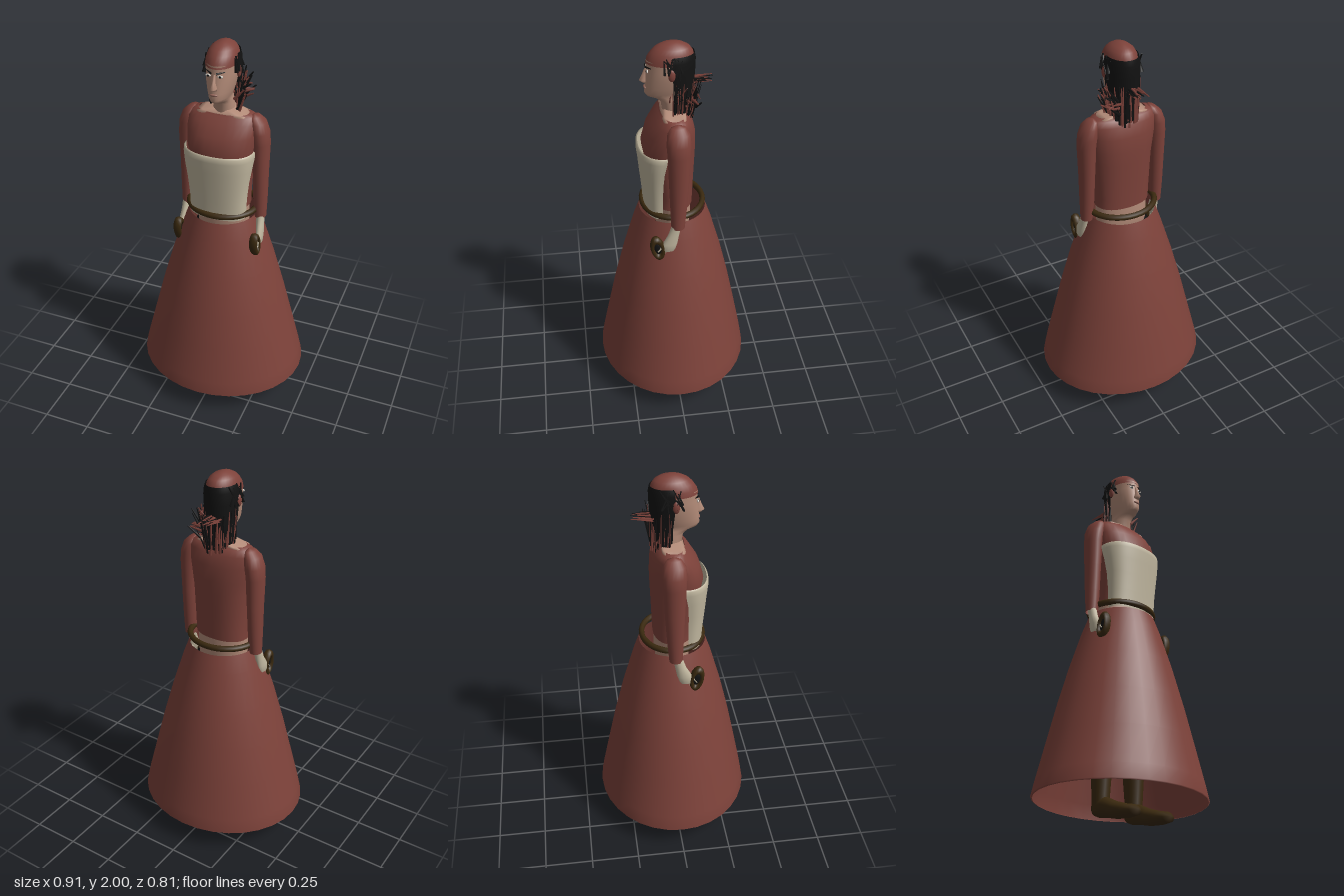
import * as THREE from 'three';
import { mergeVertices, mergeGeometries } from 'three/addons/utils/BufferGeometryUtils.js';

const mat = (name, color, side = THREE.FrontSide) => {
  const m = new THREE.MeshStandardMaterial({ color, side });
  m.name = name;
  return m;
};

// Smooth skin through elliptical rings [x, y, z, rx, rz]; a0..a1 limits the sweep, p squares it off.
function loft(rings, { n = 28, a0 = 0, a1 = Math.PI * 2, p = 2 } = {}) {
  const pos = [], index = [], sq = v => Math.sign(v) * Math.pow(Math.abs(v), 2 / p);
  const closed = a1 - a0 > 6.28;
  rings.forEach(([x, y, z, rx, rz]) => {
    for (let i = 0; i <= n; i++) {
      const a = closed && i === n ? a0 : a0 + (a1 - a0) * i / n;
      pos.push(x + rx * sq(Math.sin(a)), y, z + rz * sq(Math.cos(a)));
    }
  });
  for (let j = 0; j < rings.length - 1; j++) {
    for (let i = 0; i < n; i++) {
      const a = j * (n + 1) + i, b = a + n + 1;
      index.push(a, a + 1, b + 1, a, b + 1, b);
    }
  }
  let g = new THREE.BufferGeometry();
  g.setAttribute('position', new THREE.Float32BufferAttribute(pos, 3));
  g.setIndex(index);
  g = mergeVertices(g, 1e-5);
  g.computeVertexNormals();
  return g;
}

// Rings given as [y, front z, back z, half width]
const body = rows => rows.map(([y, f, b, w]) => [0, y, (f + b) / 2, w, (f - b) / 2]);

// Thin tapered strand from a to b
function strand(a, b, r) {
  const d = b.clone().sub(a);
  const g = new THREE.CylinderGeometry(r * 0.35, r, d.length(), 4);
  g.scale(1, 1, 0.5);
  g.applyQuaternion(new THREE.Quaternion().setFromUnitVectors(new THREE.Vector3(0, 1, 0), d.clone().normalize()));
  const c = a.clone().add(b).multiplyScalar(0.5);
  return g.translate(c.x, c.y, c.z);
}

export function createModel() {
  const root = new THREE.Group();
  root.name = 'womanInLongDress';
  const red = mat('dress red', 0x7d423a, THREE.DoubleSide);
  const cream = mat('cream linen', 0xc2b8a0, THREE.DoubleSide);
  const brown = mat('brown leather', 0x3a290f);
  const black = mat('black hair', 0x121212, THREE.DoubleSide);
  const skin = mat('skin', 0xb48c79);
  const white = mat('eye white', 0xd8d4cc);
  const lips = mat('lips', 0x94675b);
  const add = (name, geo, material, parent = root) => {
    const m = new THREE.Mesh(geo, material);
    m.name = name;
    parent.add(m);
    return m;
  };
  const V = (x, y, z) => new THREE.Vector3(x, y, z);

  // Skirt, open at both ends
  const profile = [[0.447, 0.12], [0.455, 0.125], [0.437, 0.2], [0.385, 0.4], [0.333, 0.6], [0.276, 0.8], [0.212, 1.0], [0.178, 1.09]];
  add('skirt', loft(profile.map(([r, y]) => [0, y, 0, r, r * (0.89 + 0.08 * (y - 0.12))]), { n: 32 }), red);

  // Belt
  const belt = new THREE.TorusGeometry(0.178, 0.016, 10, 36).rotateX(Math.PI / 2).scale(1, 1, 0.88);
  add('belt', belt.translate(0, 1.125, 0), brown);

  // Waist, bodice and neckline
  add('waist', loft(body([[0.9, 0, 0, 0], [0.92, 0.08, -0.08, 0.13], [1.05, 0.09, -0.095, 0.14], [1.18, 0.09, -0.09, 0.138]])), skin);
  add('bodice', loft(body([
    [1.14, 0.10, -0.10, 0.145], [1.2, 0.10, -0.102, 0.146], [1.4, 0.14, -0.11, 0.16], [1.47, 0.153, -0.112, 0.172],
    [1.55, 0.13, -0.11, 0.18], [1.61, 0.09, -0.095, 0.18], [1.638, 0.065, -0.077, 0.165], [1.648, 0.058, -0.062, 0.13],
  ]), { p: 2.3 }), red);
  add('neckline', loft(body([
    [1.6, 0.056, -0.06, 0.127], [1.643, 0.056, -0.06, 0.127], [1.65, 0.05, -0.06, 0.1], [1.665, 0.04, -0.06, 0.05], [1.665, 0, 0, 0],
  ]), { p: 6, n: 40 }), skin);

  // Bib standing off the chest
  add('bib', loft([
    [0, 1.1, 0.07, 0.148, 0.078], [0, 1.2, 0.07, 0.15, 0.085], [0, 1.3, 0.07, 0.16, 0.095], [0, 1.38, 0.065, 0.173, 0.107],
    [0, 1.44, 0.055, 0.181, 0.124], [0, 1.465, 0.052, 0.181, 0.126], [0, 1.472, 0.052, 0.174, 0.118],
  ], { a0: -1.62, a1: 1.62, p: 2.3 }), cream);

  // Arms, hands, legs, mirrored by recomputing x
  for (const s of [1, -1]) {
    const side = new THREE.Group();
    side.name = s > 0 ? 'leftLimbs' : 'rightLimbs';
    root.add(side);
    const sx = rows => rows.map(([x, ...r]) => [x * s, ...r]);

    add('sleeve', loft(sx([
      [0.2, 1.08, -0.005, 0.031, 0.034], [0.197, 1.2, -0.008, 0.037, 0.042], [0.195, 1.35, -0.01, 0.04, 0.05],
      [0.193, 1.5, -0.01, 0.046, 0.056], [0.186, 1.56, -0.01, 0.048, 0.06], [0.175, 1.61, -0.01, 0.04, 0.055],
      [0.16, 1.638, -0.01, 0.025, 0.035], [0.155, 1.647, -0.01, 0, 0],
    ]), { n: 20 }), red, side);
    add('hand', loft(sx([
      [0.216, 0.945, 0.045, 0, 0], [0.216, 0.95, 0.045, 0.014, 0.034], [0.214, 0.99, 0.038, 0.018, 0.038],
      [0.208, 1.04, 0.018, 0.02, 0.028], [0.204, 1.1, 0, 0.022, 0.025],
    ]), { n: 14 }), cream, side);
    const fingers = [0, 1, 2, 3].map(i => strand(
      V(s * 0.217, 0.96, 0.022 + i * 0.017), V(s * 0.216, 0.9 + Math.abs(i - 2) * 0.008, 0.03 + i * 0.018), 0.011));
    fingers.push(strand(V(s * 0.212, 1.0, 0.06), V(s * 0.225, 0.95, 0.1), 0.011));
    fingers.push(strand(V(s * 0.205, 0.98, 0.01), V(s * 0.2, 0.97, -0.015), 0.01));
    add('fingers', mergeGeometries(fingers), cream, side);

    // Leather loop held in the hand
    const loop = new THREE.Group();
    loop.name = 'handLoop';
    loop.position.set(s * 0.21, 0.965, 0.1);
    loop.rotation.x = 0.2;
    side.add(loop);
    add('loopRim', new THREE.TorusGeometry(0.052, 0.022, 8, 20).rotateY(Math.PI / 2).scale(1, 1, 0.5), brown, loop);
    add('loopCentre', new THREE.SphereGeometry(0.045, 12, 8).scale(0.3, 1, 0.5), black, loop);

    // Leg, boot shaft and foot (the foot is lofted along z)
    add('leg', loft(sx([
      [0.105, 0.36, -0.02, 0.045, 0.05], [0.1, 0.6, -0.01, 0.052, 0.06], [0.085, 0.9, 0, 0.07, 0.078], [0.08, 1.0, 0, 0.068, 0.078], [0.08, 1.0, 0, 0, 0],
    ]), { n: 18 }), black, side);
    add('bootShaft', loft(sx([
      [0.108, 0.06, -0.025, 0.04, 0.045], [0.108, 0.13, -0.025, 0.042, 0.046], [0.107, 0.28, -0.025, 0.05, 0.058],
      [0.106, 0.4, -0.02, 0.053, 0.062], [0.106, 0.405, -0.02, 0, 0],
    ]), { n: 18 }), brown, side);
    const foot = add('foot', loft(sx([
      [0.107, -0.078, -0.08, 0, 0], [0.107, -0.065, -0.08, 0.028, 0.033], [0.107, -0.03, -0.08, 0.042, 0.048],
      [0.107, 0.02, -0.075, 0.043, 0.05], [0.107, 0.09, -0.05, 0.045, 0.042], [0.107, 0.16, -0.035, 0.05, 0.033],
      [0.107, 0.21, -0.03, 0.04, 0.026], [0.107, 0.232, -0.03, 0, 0],
    ]), { n: 18 }), brown, side);
    foot.rotation.x = Math.PI / 2;

    // Face details
    const eye = add('eye', new THREE.SphereGeometry(0.012, 12, 8).scale(1.2, 0.6, 0.4), white, side);
    eye.position.set(s * 0.03, 1.871, 0.119);
    const iris = add('iris', new THREE.SphereGeometry(0.006, 10, 8).scale(1, 1, 0.5), black, side);
    iris.position.set(s * 0.03, 1.871, 0.123);
    add('brow', strand(V(s * 0.012, 1.885, 0.127), V(s * 0.05, 1.892, 0.103), 0.005), black, side);
    const ear = add('ear', new THREE.SphereGeometry(0.025, 12, 10).scale(0.4, 1.2, 0.7), red, side);
    ear.position.set(s * 0.082, 1.865, 0.01);
  }

  // Head and neck
  add('head', loft(body([
    [1.6, 0.04, -0.07, 0.058], [1.7, 0.055, -0.065, 0.05], [1.722, 0.085, -0.07, 0.046], [1.734, 0.122, -0.075, 0.045],
    [1.75, 0.133, -0.08, 0.05], [1.78, 0.13, -0.088, 0.06], [1.83, 0.127, -0.095, 0.07], [1.87, 0.122, -0.1, 0.074], [1.92, 0.122, -0.1, 0.074],
  ])), skin);
  add('nose', loft([
    [0, 1.8, 0.125, 0, 0], [0, 1.803, 0.125, 0.016, 0.018], [0, 1.813, 0.125, 0.016, 0.031],
    [0, 1.84, 0.12, 0.009, 0.022], [0, 1.88, 0.116, 0.007, 0.011],
  ], { n: 12 }), skin);
  add('mouth', new THREE.SphereGeometry(0.02, 12, 8).scale(1, 0.35, 0.4).translate(0, 1.778, 0.128), lips);
  add('cap', loft(body([
    [1.905, 0.124, -0.1, 0.077], [1.93, 0.117, -0.104, 0.076], [1.955, 0.1, -0.098, 0.069],
    [1.975, 0.079, -0.083, 0.057], [1.99, 0.052, -0.058, 0.038], [1.998, 0.022, -0.028, 0.015], [2, -0.003, -0.003, 0],
  ])), red);

  // Hair wrapped round the sides and back
  add('hair', loft(body([
    [1.63, 0.045, -0.095, 0.072], [1.7, 0.06, -0.1, 0.076], [1.78, 0.08, -0.105, 0.081],
    [1.86, 0.1, -0.11, 0.084], [1.92, 0.1, -0.112, 0.083], [1.95, 0.085, -0.106, 0.074],
  ]), { a0: 1.45, a1: Math.PI * 2 - 1.45 }), black);

  // Loose strands, fuller on the model's left and sticking out behind
  let seed = 7;
  const rnd = (a, b) => {
    seed = (seed * 16807) % 2147483647;
    return a + (b - a) * seed / 2147483647;
  };
  const locks = [[], []];
  for (let i = 0; i < 110; i++) {
    const a = rnd(1.5, 4.7), out = a < 2.9 ? rnd(0.9, 1.5) : rnd(0.85, 1.1);
    const top = V(Math.sin(a) * 0.08 * out, rnd(1.72, 1.84), Math.cos(a) * 0.1 * out);
    const end = V(Math.sin(a) * 0.07, rnd(1.6, 1.68), Math.cos(a) * 0.1 - 0.005);
    locks[i % 2].push(strand(end, top, rnd(0.005, 0.01)));
  }
  for (let i = 0; i < 14; i++) {
    const x = rnd(-0.06, 0.02);
    locks[i % 3 ? 0 : 1].push(strand(V(x, rnd(1.77, 1.81), -0.09), V(x + rnd(-0.01, 0.01), rnd(1.79, 1.815), rnd(-0.2, -0.15)), 0.01));
  }
  for (let i = 0; i < 18; i++) {
    const z = rnd(-0.12, 0.02);
    locks[i % 2].push(strand(V(0.06, rnd(1.68, 1.76), z), V(rnd(0.1, 0.14), rnd(1.73, 1.82), z + rnd(-0.03, 0.01)), 0.009));
  }
  for (const s of [1, -1]) {
    for (let i = 0; i < 10; i++) {
      locks[1].push(strand(V(s * 0.08, rnd(1.84, 1.88), rnd(-0.06, 0.05)), V(s * 0.074, rnd(1.93, 1.955), rnd(-0.07, 0.05)), 0.012));
    }
  }
  add('redStrands', mergeGeometries(locks[0]), red);
  add('blackStrands', mergeGeometries(locks[1]), black);
  return root;
}
